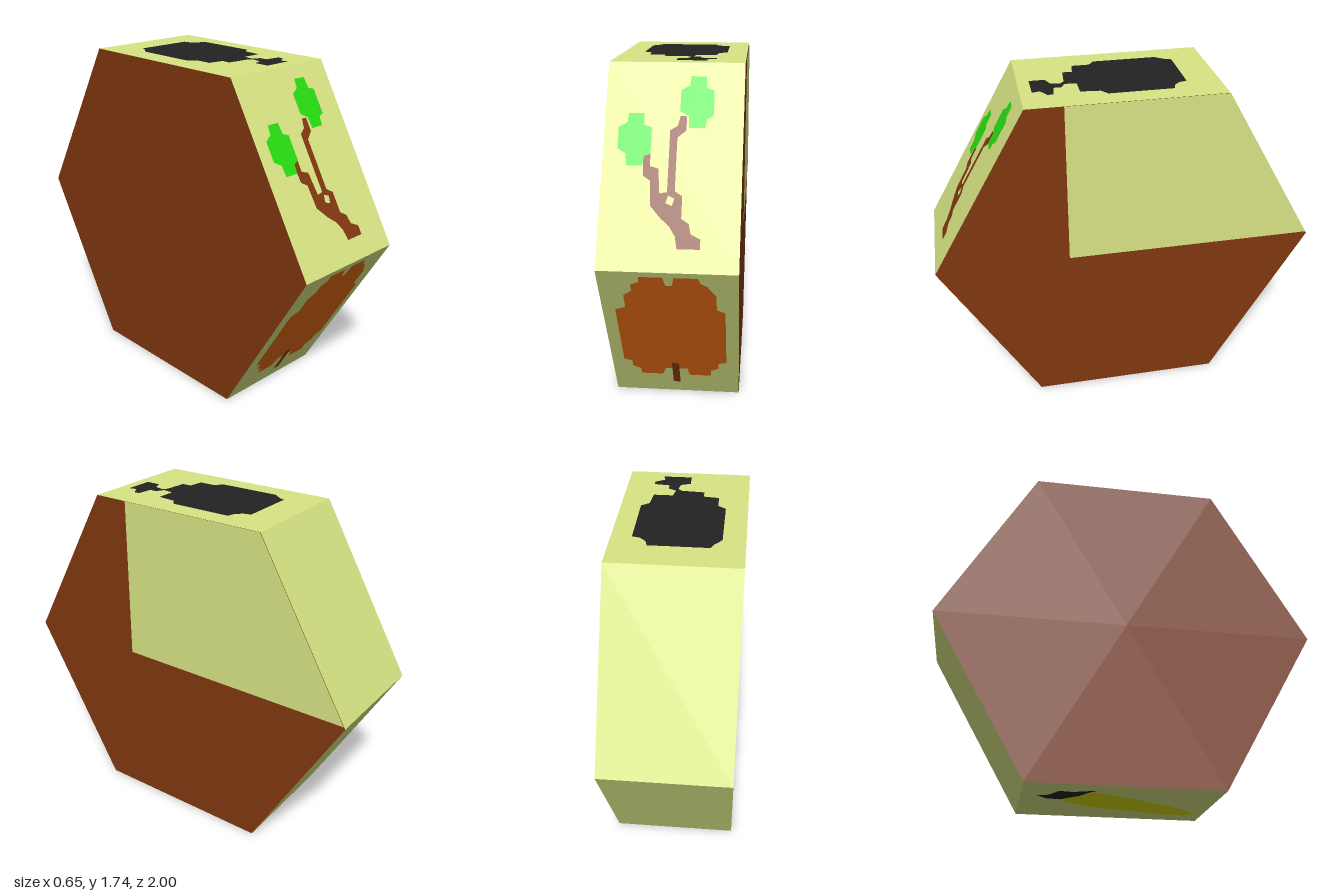
import * as THREE from 'three';

const H = Math.sqrt(3) / 2; // distance from axis to each flat face
const WIDTH = 0.645;

const mat = (name, color) => {
  const m = new THREE.MeshStandardMaterial({ color });
  m.name = name;
  return m;
};

export function createModel() {
  const model = new THREE.Group();
  model.name = 'paintedHexagonalBlock';

  const cream = mat('paleYellowGreen', 0xd8e484);
  const brown = mat('brown', 0x80380f);
  const orange = mat('orange', 0xdf6814);
  const green = mat('leafGreen', 0x26dc10);
  const black = mat('black', 0x222222);
  const yellow = mat('yellow', 0xd8d80c);

  const vectors = (pts) => pts.map(([x, y]) => new THREE.Vector2(x, y));

  // Flat painted shape, lifted just off the face it lies on
  function paint(parent, name, material, pts, layer = 1, holes = []) {
    const shape = new THREE.Shape(vectors(pts));
    holes.forEach((h) => shape.holes.push(new THREE.Path(vectors(h))));
    const mesh = new THREE.Mesh(new THREE.ShapeGeometry(shape), material);
    mesh.name = name;
    mesh.position.z = layer * 0.003;
    parent.add(mesh);
  }

  // Local frame of one flat rim face; degrees is the tilt of its normal above the front
  function rimFace(name, degrees) {
    const a = THREE.MathUtils.degToRad(degrees);
    const g = new THREE.Group();
    g.name = name;
    g.position.set(0, H + H * Math.sin(a), H * Math.cos(a));
    g.rotation.x = -a;
    model.add(g);
    return g;
  }

  // Converts heights seen from the front to distances along a sloping face
  const sloped = (pts, centre) => pts.map(([x, y]) => [x, (y - centre) / H]);

  // Hexagonal block: pale rim, brown ends
  const prism = new THREE.CylinderGeometry(1, 1, WIDTH, 6).toNonIndexed();
  prism.computeVertexNormals();
  prism.rotateZ(-Math.PI / 2);
  const block = new THREE.Mesh(prism, [cream, brown, brown]);
  block.name = 'block';
  block.position.y = H;
  model.add(block);

  // Pale panel on the left end
  const end = new THREE.Group();
  end.name = 'leftEnd';
  end.position.x = WIDTH / 2;
  end.rotation.y = Math.PI / 2;
  model.add(end);
  paint(end, 'endPanel', cream, [[-0.31, 0.878], [0.993, 0.878], [0.5, 2 * H], [-0.31, 2 * H]]);

  // Pumpkin on the lower front face
  const lowerFront = rimFace('lowerFrontFace', -30);
  const low = H / 2;
  paint(lowerFront, 'pumpkin', orange, sloped([
    [-0.13, 0.84], [-0.02, 0.84], [-0.01, 0.79], [0.02, 0.79], [0.03, 0.84], [0.14, 0.84],
    [0.15, 0.81], [0.18, 0.79], [0.22, 0.73], [0.22, 0.64], [0.26, 0.62], [0.26, 0.25],
    [0.22, 0.24], [0.22, 0.2], [0.18, 0.18], [0.18, 0.14], [0.07, 0.14], [0.06, 0.19],
    [-0.05, 0.19], [-0.07, 0.14], [-0.18, 0.14], [-0.18, 0.18], [-0.22, 0.2], [-0.22, 0.24],
    [-0.26, 0.25], [-0.26, 0.62], [-0.21, 0.64], [-0.21, 0.72], [-0.17, 0.75], [-0.17, 0.79], [-0.13, 0.81],
  ], low));
  paint(lowerFront, 'pumpkinStem', brown, sloped(
    [[-0.017, 0.083], [0.019, 0.083], [0.019, 0.235], [-0.017, 0.235]], low), 2);

  // Forked twig with two leaves on the upper front face
  const upperFront = rimFace('upperFrontFace', 30);
  const high = 1.5 * H;
  const hole = [[-0.02, 1.14], [0.01, 1.13], [0.02, 1.16], [-0.01, 1.172]];
  paint(upperFront, 'twig', brown, sloped([
    [0.04, 0.96], [0.145, 0.96], [0.145, 1.0], [0.1, 1.02], [0.09, 1.06], [0.055, 1.08], [0.055, 1.17],
    [0.02, 1.19], [0.02, 1.41], [0.06, 1.44], [0.06, 1.5], [0.03, 1.5], [0.02, 1.46], [-0.015, 1.44],
    [-0.015, 1.185], [-0.05, 1.18], [-0.06, 1.28], [-0.1, 1.29], [-0.1, 1.34], [-0.135, 1.34],
    [-0.13, 1.25], [-0.095, 1.23], [-0.09, 1.13], [-0.04, 1.08], [0, 1.05], [0.03, 1.01],
  ], high), 1, [sloped(hole, high)]);
  const leaf = [
    [-0.21, 1.51], [-0.14, 1.51], [-0.135, 1.46], [-0.1, 1.45], [-0.1, 1.34], [-0.13, 1.33],
    [-0.135, 1.29], [-0.21, 1.29], [-0.215, 1.34], [-0.255, 1.36], [-0.255, 1.45], [-0.215, 1.47],
  ];
  paint(upperFront, 'rightLeaf', green, sloped(leaf, high), 2);
  paint(upperFront, 'leftLeaf', green, sloped(leaf.map(([x, y]) => [x + 0.283, y + 0.16]), high), 2);

  // Dark rounded fruit with a stalk on the top face (points are x, z)
  const top = rimFace('topFace', 90);
  paint(top, 'darkFruit', black, [
    [-0.16, -0.33], [0.14, -0.33], [0.15, -0.29], [0.18, -0.26], [0.22, -0.25], [0.22, 0.08],
    [0.18, 0.11], [0.17, 0.21], [0.07, 0.21], [0.06, 0.27], [0.1, 0.29], [0.1, 0.33], [0.18, 0.34],
    [0.18, 0.37], [0.13, 0.4], [0.14, 0.44], [-0.01, 0.44], [-0.01, 0.36], [0.04, 0.34], [0.05, 0.29],
    [0.03, 0.27], [-0.09, 0.26], [-0.09, 0.21], [-0.17, 0.2], [-0.17, 0.11], [-0.21, 0.08],
    [-0.21, -0.25], [-0.17, -0.3],
  ].map(([x, z]) => [x, -z]));

  // Long tapering yellow fruit with a dark cap on the bottom face (points are x, z)
  const bottom = rimFace('bottomFace', -90);
  paint(bottom, 'yellowFruit', yellow, [
    [0.16, 0.45], [0.19, 0.4], [0.19, 0.28], [0.15, 0.12], [0.1, -0.1], [0.08, -0.15], [0, -0.28],
    [-0.05, -0.31], [-0.13, -0.22], [-0.2, -0.14], [-0.12, 0.05], [-0.02, 0.23], [0.075, 0.38],
  ]);
  paint(bottom, 'fruitCap', black, [
    [-0.05, -0.3], [-0.06, -0.37], [-0.11, -0.42], [-0.13, -0.36], [-0.21, -0.32], [-0.2, -0.25],
    [-0.245, -0.13], [-0.2, -0.17], [-0.13, -0.21],
  ], 2);

  // Rest the block on the ground, above the paint underneath
  model.position.y = 0;
  return model;
}
